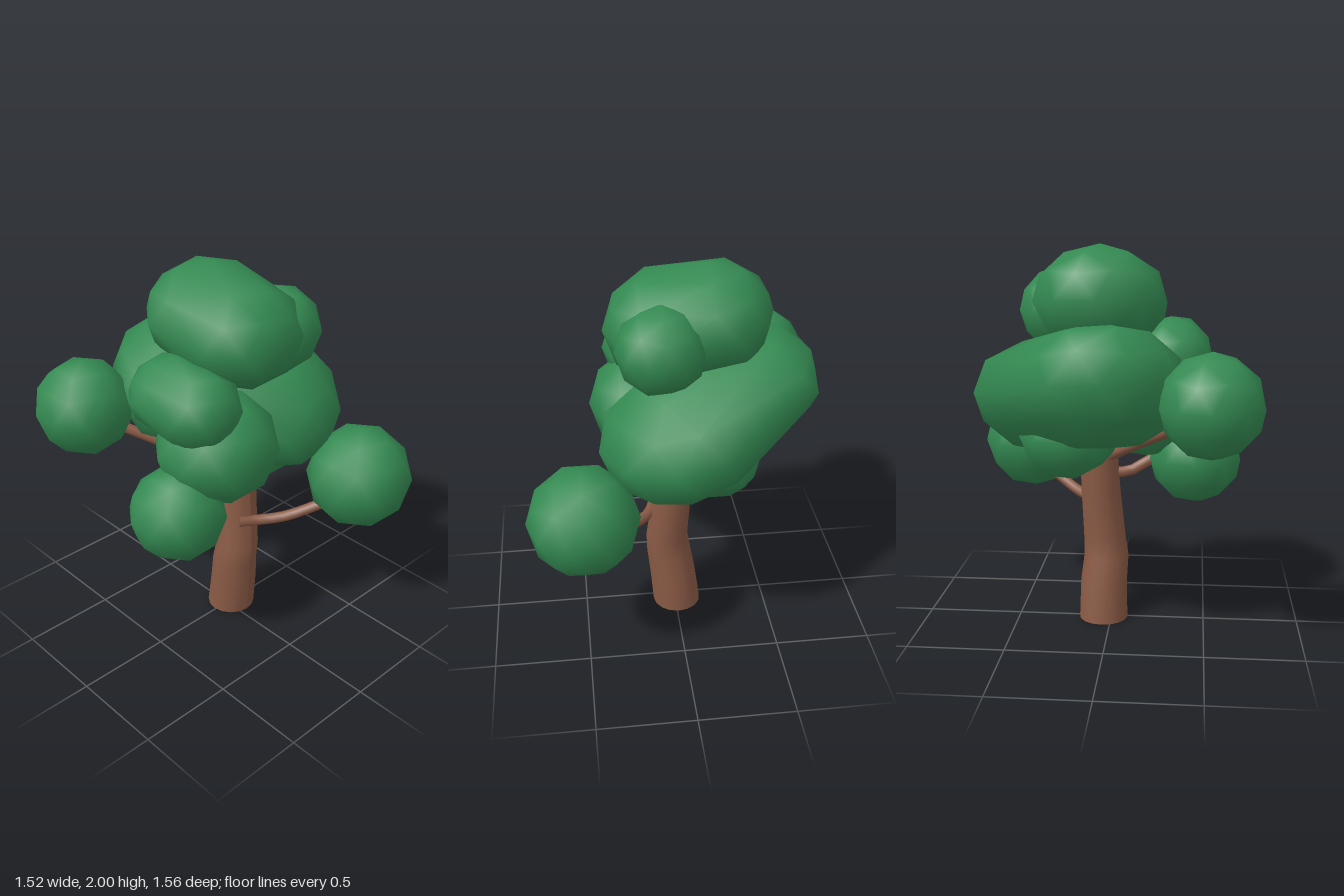
import * as THREE from 'three';

const leafMaterial = new THREE.MeshStandardMaterial({ color: 0x348a52 });
const barkMaterial = new THREE.MeshStandardMaterial({ color: 0x8a5a45 });

// Low-poly ball with three half-axis vectors; its two halves are pulled
// apart along the third axis by the factor "pull"
function leafBlob(name, center, ax, ay, az, pull = 0) {
  const geo = new THREE.IcosahedronGeometry(1, 1);
  geo.rotateZ(-Math.atan(2 / (1 + Math.sqrt(5)))); // one vertex straight up
  const pos = geo.attributes.position;
  for (let i = 0; i < pos.count; i++) {
    const z = pos.getZ(i);
    pos.setZ(i, z + (z - 0.01 * pos.getY(i) > 0 ? pull : -pull));
  }
  const basis = new THREE.Matrix4().makeBasis(
    new THREE.Vector3(...ax), new THREE.Vector3(...ay), new THREE.Vector3(...az));
  geo.applyMatrix4(basis);
  const mesh = new THREE.Mesh(geo, leafMaterial);
  mesh.name = name;
  mesh.position.set(...center);
  return mesh;
}

// Upright ball or ellipsoid
const roundBlob = (name, center, rx, ry = rx, rz = rx, pull = 0) =>
  leafBlob(name, center, [rx, 0, 0], [0, ry, 0], [0, 0, rz], pull);

// Cylinder whose rings follow a slightly crooked, tapering path
function makeTrunk() {
  // y, x, z, radius
  const rings = [
    [0, 0.042, -0.01, 0.13],
    [0.2, 0.042, 0.012, 0.125],
    [0.34, 0.03, 0.032, 0.12],
    [0.45, 0.04, 0.043, 0.113],
    [0.7, 0.058, 0.02, 0.105],
    [1.1, 0.075, 0, 0.095],
  ];
  const last = rings.length - 1;
  const geo = new THREE.CylinderGeometry(1, 1, last, 16, last);
  const pos = geo.attributes.position;
  for (let i = 0; i < pos.count; i++) {
    const [y, x, z, r] = rings[Math.round(pos.getY(i) + last / 2)];
    pos.setXYZ(i, x + pos.getX(i) * r, y, z + pos.getZ(i) * r);
  }
  geo.computeVertexNormals();
  const mesh = new THREE.Mesh(geo, barkMaterial);
  mesh.name = 'trunk';
  return mesh;
}

function makeBranch(name, points, radius) {
  const curve = new THREE.CatmullRomCurve3(points.map((p) => new THREE.Vector3(...p)));
  const mesh = new THREE.Mesh(new THREE.TubeGeometry(curve, 8, radius, 8), barkMaterial);
  mesh.name = name;
  return mesh;
}

export function createModel() {
  const tree = new THREE.Group();
  tree.name = 'tree';

  // Trunk and branches
  tree.add(
    makeTrunk(),
    makeBranch('frontBranch', [[-0.02, 0.625, 0.11], [0.08, 0.61, 0.15], [0.2, 0.63, 0.25], [0.38, 0.72, 0.4]], 0.029),
    makeBranch('sideBranch', [[0.04, 0.8, 0.02], [-0.1, 0.81, 0.04], [-0.19, 0.86, 0.06], [-0.34, 0.92, 0.09]], 0.029),
    makeBranch('backBranch', [[0.05, 0.88, 0], [-0.16, 1.01, -0.18], [-0.45, 1.19, -0.46]], 0.029),
  );

  // Separate balls at the branch ends
  tree.add(
    roundBlob('frontBranchLeaves', [0.49, 0.88, 0.5], 0.28),
    roundBlob('sideBranchLeaves', [-0.44, 0.88, 0.11], 0.25),
    roundBlob('backBranchLeaves', [-0.515, 1.265, -0.525], 0.257),
  );

  // Crown
  tree.add(
    leafBlob('mainCrown', [0.155, 1.27, -0.165], [0.325, 0.045, -0.285], [0, 0.33, 0], [0.255, -0.065, 0.29], 0.58),
    leafBlob('topCrown', [0.042, 1.71, -0.065], [0.342, 0, 0], [0, 0.285, 0], [0, -0.025, 0.325], 0.3),
    roundBlob('topSideCrown', [0.265, 1.66, 0.09], 0.225),
    roundBlob('frontCrown', [-0.18, 1.165, 0.12], 0.325, 0.29, 0.31),
    roundBlob('upperSideCrown', [-0.31, 1.425, 0.03], 0.22, 0.215, 0.235, 0.35),
    roundBlob('lowerBackCrown', [0.2, 1.05, -0.085], 0.26, 0.24, 0.26, 0.33),
  );
  return tree;
}
